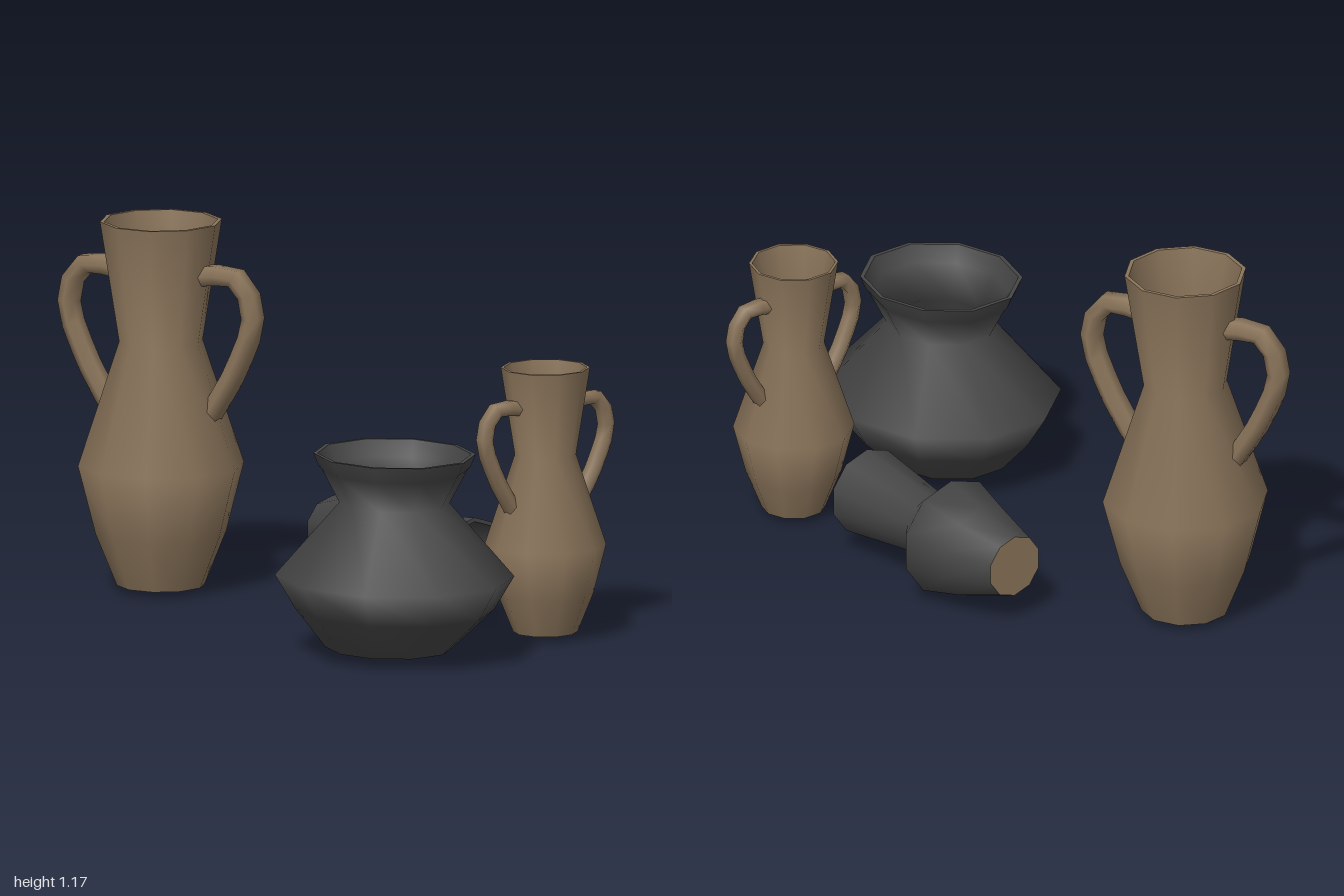
import * as THREE from 'three';
import { mergeGeometries } from 'three/addons/utils/BufferGeometryUtils.js';

const SIDES = 10;
const WALL = 0.013;

// Ten-sided turned surface; points run so that the visible side faces out
function turn(points, phi) {
  return new THREE.LatheGeometry(points.map(([r, y]) => new THREE.Vector2(r, y)), SIDES, phi);
}

// Hollow pot from an outer profile (bottom to top); the foot may sit off centre
function makePot(name, profile, material, { phi = Math.PI / 2, footMaterial = material, footShift = 0 } = {}) {
  const pot = new THREE.Group();
  pot.name = name;
  const [lipR, lipY] = profile[profile.length - 1];
  const inner = profile.map(([r, y], i) => [r - WALL, i === 0 ? y + WALL : y]).reverse();

  const outside = turn(profile, phi);
  const foot = turn([[0, 0], [profile[0][0], 0]], phi);
  for (const geometry of [outside, foot]) {
    const p = geometry.attributes.position;
    for (let i = 0; i < p.count; i++) if (p.getY(i) < 1e-6) p.setX(i, p.getX(i) + footShift);
  }
  const rim = turn([[lipR, lipY], [lipR - WALL, lipY]], phi);
  const inside = turn([...inner, [0, WALL]], phi);

  const body = new THREE.Mesh(mergeGeometries([outside, rim, inside]), material);
  body.name = 'body';
  const base = new THREE.Mesh(foot, footMaterial);
  base.name = 'base';
  pot.add(body, base);
  return pot;
}

// Tall two-handled vase
function makeVase(name, material) {
  const vase = makePot(name, [
    [0.138, 0], [0.205, 0.165], [0.26, 0.38], [0.131, 0.771], [0.191, 1.15],
  ], material);
  const path = new THREE.CatmullRomCurve3([
    [0.125, 0.985], [0.25, 0.998], [0.307, 0.945], [0.323, 0.84], [0.255, 0.68], [0.175, 0.55],
  ].map(([x, y]) => new THREE.Vector3(x, y, 0)), false, 'catmullrom', 0.3);
  const handleGeometry = new THREE.TubeGeometry(path, 9, 0.035, 6);
  handleGeometry.scale(1, 1, 1.2);
  for (const side of ['left', 'right']) {
    const handle = new THREE.Mesh(handleGeometry, material);
    handle.name = side + 'Handle';
    if (side === 'right') handle.rotation.y = Math.PI;
    vase.add(handle);
  }
  return vase;
}

export function createModel() {
  const clay = new THREE.MeshStandardMaterial({ color: 0x8a745a });
  clay.name = 'brown clay';
  const dark = new THREE.MeshStandardMaterial({ color: 0x464646 });
  dark.name = 'dark clay';

  const model = new THREE.Group();
  model.name = 'pottery';

  // Tall vase at the back, turned so its handles run nearly front to back
  const tallVase = makeVase('tallVase', clay);
  tallVase.position.set(-0.165, 0.02, -0.688);
  tallVase.rotation.y = -THREE.MathUtils.degToRad(65);

  // Smaller copy at the front
  const smallVase = makeVase('smallVase', clay);
  smallVase.position.set(0.331, 0.02, 0.642);
  smallVase.scale.setScalar(0.726);

  // Wide dark pot with a flared, stepped lip
  const widePot = makePot('widePot', [
    [0.19, 0], [0.298, 0.12], [0.358, 0.225], [0.165, 0.455],
    [0.217, 0.558], [0.227, 0.57], [0.243, 0.61],
  ], dark, { footShift: -0.022 });
  widePot.position.set(-0.238, 0.035, 0.622);
  widePot.scale.z = 1.11;

  // Dark jar lying on its side, mouth to the front, with a brown base
  const lyingJar = makePot('lyingJar', [
    [0.1, 0], [0.15, 0.145], [0.19, 0.293], [0.098, 0.395], [0.14, 0.715],
  ], dark, { phi: 0, footMaterial: clay, footShift: -0.018 });
  lyingJar.position.set(0.308, 0.19, -0.41);
  lyingJar.rotation.x = Math.PI / 2;

  model.add(tallVase, smallVase, widePot, lyingJar);
  return model;
}
